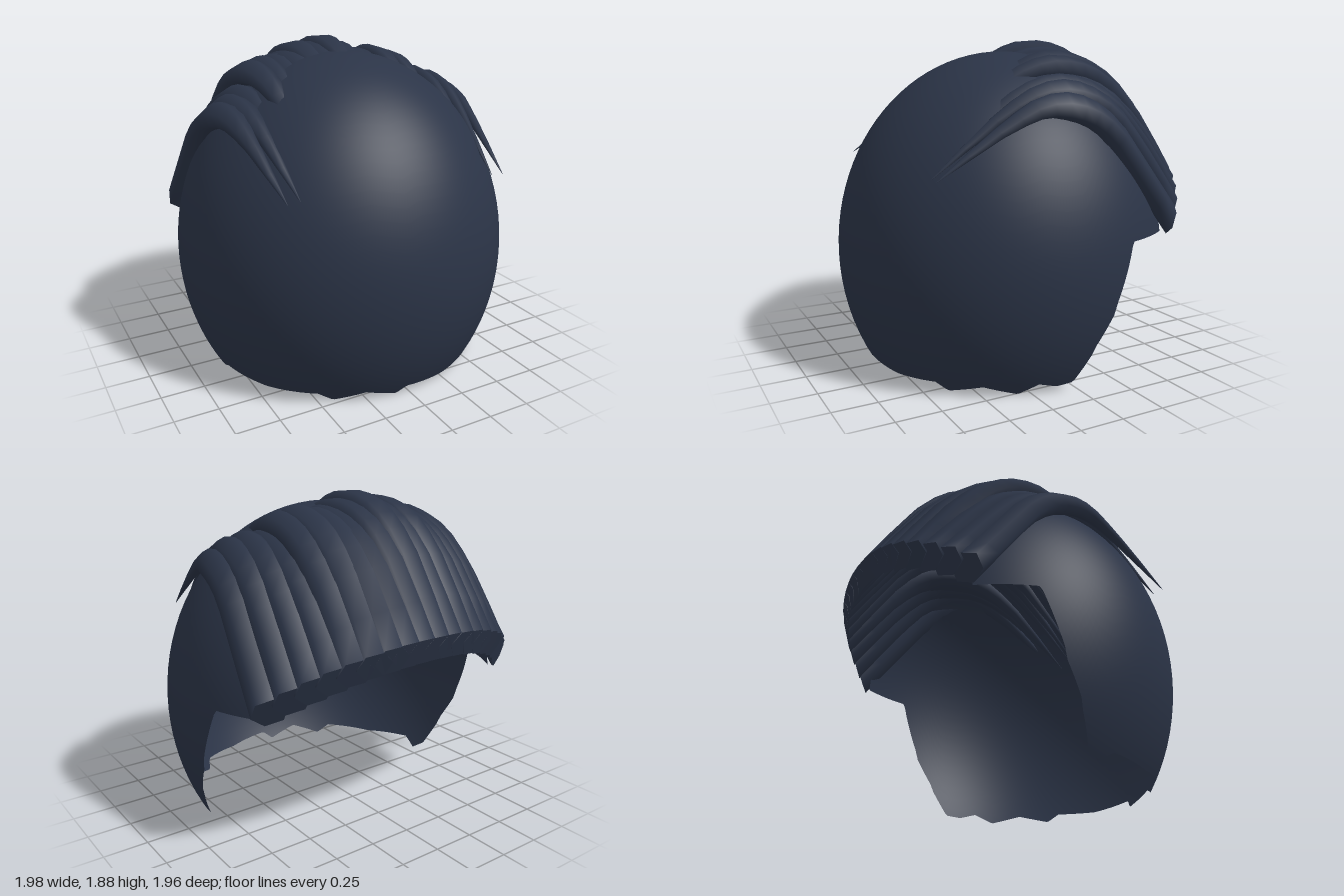
import * as THREE from 'three';

const hair = new THREE.MeshStandardMaterial({ color: 0x2b3447, side: THREE.DoubleSide });
hair.name = 'dark navy hair';

const RX = 0.99, RY = 1.16, RZ = 1.0, CY = 0.65;

// Lower edge of the cap: [azimuth in degrees from +z, height]
const EDGE = [
  [-180, 1.25], [-129, 1.2], [-126, 0.8], [-106.5, 0.8], [-99.5, 0.47], [-99, 0.42], [-94, 0.26], [-93.5, 0.22], [-89, 0.05],
  [-84, 0], [-78, 0.05], [-57, 0.03], [-36, 0.05], [-30.5, 0], [-18, 0.06], [-5.5, 0], [-1.5, 0.05],
  [18, 0.03], [37, 0.05], [41.5, 0], [55, 0.05], [67.5, 0], [75, 0.06], [82, 0.03], [88.5, 0.04],
  [93.5, 0.22], [94, 0.26], [99, 0.42], [99.5, 0.47], [106.5, 0.8], [126, 0.8], [129, 1.2], [180, 1.25],
];

function edgeHeight(a) {
  let i = 1;
  while (i < EDGE.length - 1 && EDGE[i][0] < a) i++;
  const [a0, y0] = EDGE[i - 1], [a1, y1] = EDGE[i];
  return y0 + (y1 - y0) * (a - a0) / (a1 - a0);
}

function buildGeometry(pos, index, normals) {
  const g = new THREE.BufferGeometry();
  g.setAttribute('position', new THREE.Float32BufferAttribute(pos, 3));
  g.setIndex(index);
  if (normals) g.setAttribute('normal', new THREE.Float32BufferAttribute(normals, 3));
  else g.computeVertexNormals();
  return g;
}

// Ellipsoid shell, open below and over the face, with a ragged edge
function capGeometry() {
  const cols = 360, rows = 32, pos = [], nor = [], index = [];
  const n = new THREE.Vector3();
  for (let c = 0; c <= cols; c++) {
    const deg = -180 + 360 * c / cols, a = THREE.MathUtils.degToRad(deg);
    const end = Math.acos((edgeHeight(deg) - CY) / RY);
    for (let r = 0; r <= rows; r++) {
      const t = end * r / rows;
      const x = Math.sin(t) * Math.sin(a), y = Math.cos(t), z = Math.sin(t) * Math.cos(a);
      pos.push(x * RX, CY + y * RY, z * RZ);
      n.set(x / RX, y / RY, z / RZ).normalize();
      nor.push(n.x, n.y, n.z);
      if (c < cols && r < rows) {
        const p = c * (rows + 1) + r, q = p + rows + 1;
        index.push(p, p + 1, q, q, p + 1, q + 1);
      }
    }
  }
  return buildGeometry(pos, index, nor);
}

// Strand paths as [z, y], from the thin root to the blunt end
const MIDDLE = [[0.7, 1.08], [0.25, 1.62], [0, 1.78], [-0.21, 1.82], [-0.42, 1.77], [-0.62, 1.61], [-0.94, 1.13]];
const OUTER = [[0.73, 1.18], [0.35, 1.43], [0.14, 1.52], [-0.05, 1.5], [-0.22, 1.4], [-0.42, 1.15], [-0.63, 0.87]];

// Uneven height of each lock, from the model's right to its left
const LIFT = [-0.015, -0.06, -0.07, 0, -0.02, -0.045, -0.055, -0.015, -0.03, 0,
  -0.03, -0.07, -0.06, -0.025, -0.03, -0.075, -0.045, -0.01, 0];

// Six-sided lock swept along its path, tapering to the root
function strandGeometry(x, lift, rootShift) {
  const k = Math.pow(Math.abs(x) / 0.81, 2.3), lerp = THREE.MathUtils.lerp;
  const curve = new THREE.CatmullRomCurve3(MIDDLE.map(([z, y], i) => {
    const e = OUTER[i], zz = lerp(z, e[0], k), mid = Math.sin(Math.PI * i / 6);
    const root = rootShift * Math.pow(1 - i / 6, 3);
    return new THREE.Vector3(x * (0.93 - 0.14 * zz), lerp(y, e[1], k) + lift * mid + root, zz);
  }));
  const steps = 14, sides = 6, pos = [], index = [], roll = x * 0.8;
  for (let i = 0; i <= steps; i++) {
    const u = i / steps, p = curve.getPoint(u), t = curve.getTangent(u);
    const side = new THREE.Vector3(1, 0, 0).addScaledVector(t, -t.x).normalize();
    const up = side.clone().cross(t);
    const s = side.clone().multiplyScalar(Math.cos(roll)).addScaledVector(up, -Math.sin(roll));
    const n = up.clone().multiplyScalar(Math.cos(roll)).addScaledVector(side, Math.sin(roll));
    const size = Math.max(0.02, Math.min(1, Math.pow(u / 0.45, 0.8)));
    const slant = i === steps ? 0.05 : 0; // the end is cut at an angle, longer underneath
    for (let j = 0; j < sides; j++) {
      const f = j / sides * Math.PI * 2;
      const v = p.clone().addScaledVector(s, Math.cos(f) * 0.1 * size)
        .addScaledVector(n, Math.sin(f) * 0.065 * size).addScaledVector(t, -Math.sin(f) * slant);
      pos.push(v.x, v.y, v.z);
      if (i < steps) {
        const a = i * sides + j, b = i * sides + (j + 1) % sides;
        index.push(a, a + sides, b, b, a + sides, b + sides);
      }
    }
  }
  // Flat blunt end
  const last = steps * sides, cap = pos.length / 3;
  pos.push(...pos.slice(last * 3));
  for (let j = 1; j < sides - 1; j++) index.push(cap, cap + j + 1, cap + j);
  return buildGeometry(pos, index);
}

export function createModel() {
  const group = new THREE.Group();
  group.name = 'hairpiece';

  const cap = new THREE.Mesh(capGeometry(), hair);
  cap.name = 'hairCap';
  group.add(cap);

  // Fan of swept locks over the face opening
  const fringe = new THREE.Group();
  fringe.name = 'fringe';
  LIFT.forEach((lift, i) => {
    const strand = new THREE.Mesh(strandGeometry((i - 9) * 0.09, lift, 0.04 * Math.sin(i * 2.4)), hair);
    strand.name = 'fringeStrand';
    fringe.add(strand);
  });
  group.add(fringe);
  return group;
}
